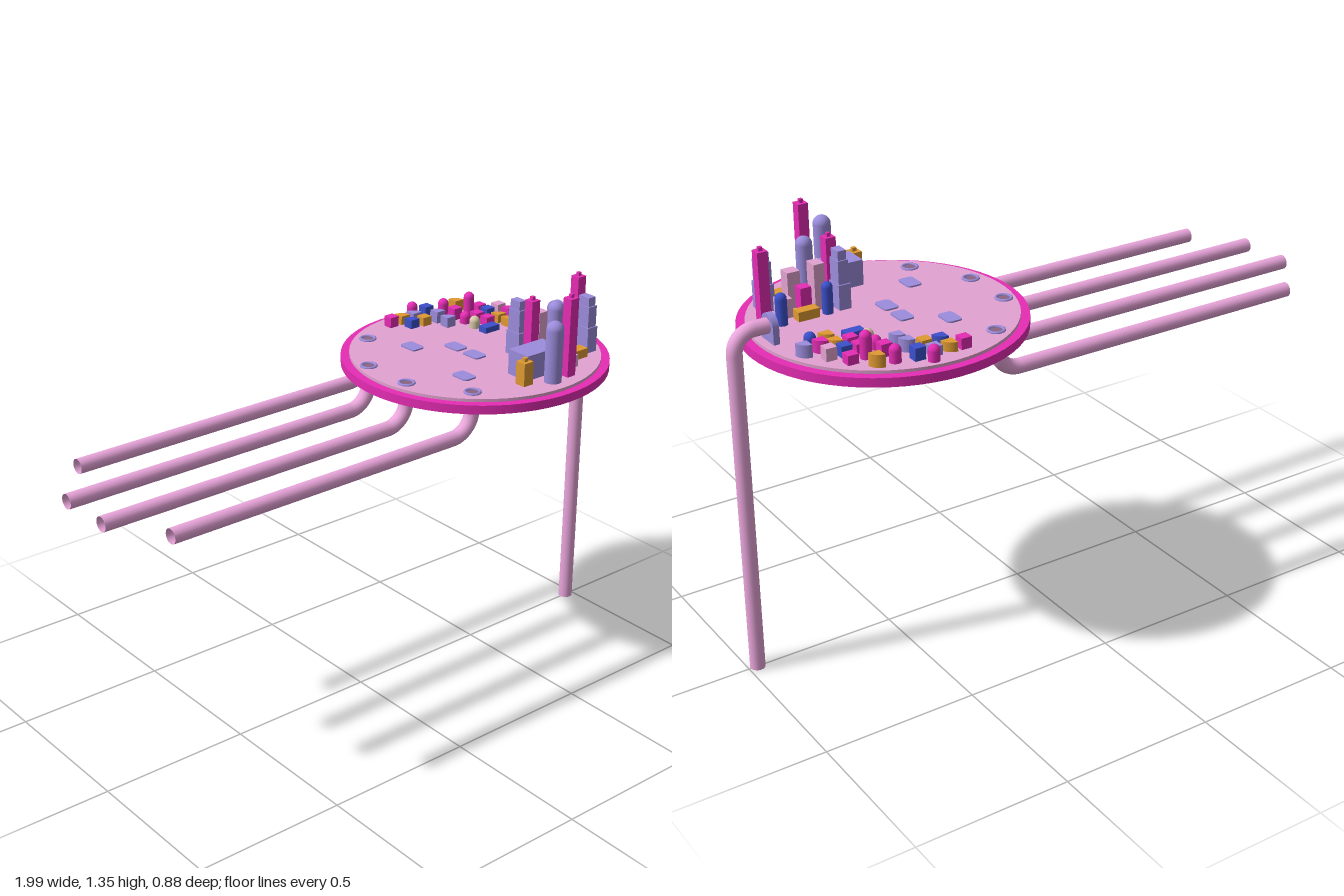
import * as THREE from 'three';

const mat = (color, side = THREE.FrontSide) => new THREE.MeshStandardMaterial({ color, side });
const COLORS = {
  magenta: mat(0xe62cb4), pink: mat(0xe2a2d0), violet: mat(0x9c8cdc),
  blue: mat(0x3c50cc), orange: mat(0xe09a32), cream: mat(0xd8c8a8),
};
const PIPE = mat(0xeaa6dc, THREE.DoubleSide);
const CX = 0.48, DECK = 1.08;

export function createModel() {
  const root = new THREE.Group();
  const add = (name, geo, material, x = 0, y = 0, z = 0, parent = root) => {
    const m = new THREE.Mesh(geo, material);
    m.name = name;
    m.position.set(x, y, z);
    parent.add(m);
    return m;
  };
  const group = (name) => {
    const g = new THREE.Group();
    g.name = name;
    root.add(g);
    return g;
  };

  // Round platform: shallow dish with a magenta rim and a raised pink deck
  const v = (x, y) => new THREE.Vector2(x, y);
  const dish = [[0, 1.002], [0.18, 1.002], [0.18, 1.002], [0.438, 1.041], [0.438, 1.041], [0.438, 1.07], [0.438, 1.07], [0, 1.07]];
  add('platformDish', new THREE.LatheGeometry(dish.map(p => v(...p)), 64), COLORS.magenta, CX);
  add('platformDeck', new THREE.CylinderGeometry(0.41, 0.41, 0.015, 64), COLORS.pink, CX, DECK - 0.0075);

  // Open pipe with a quarter bend between two straight runs
  const elbowPipe = (name, a, corner, b, bend, r) => {
    const A = new THREE.Vector3(...a), C = new THREE.Vector3(...corner), B = new THREE.Vector3(...b);
    const s = C.clone().add(A.clone().sub(C).setLength(bend));
    const e = C.clone().add(B.clone().sub(C).setLength(bend));
    const c1 = s.clone().lerp(C, 0.5523), c2 = e.clone().lerp(C, 0.5523);
    const g = group(name);
    const run = (label, curve, n) => add(label, new THREE.TubeGeometry(curve, n, r, 20), PIPE, 0, 0, 0, g);
    run('firstRun', new THREE.LineCurve3(A, s), 1);
    run('bend', new THREE.CubicBezierCurve3(s, c1, c2, e), 14);
    run('secondRun', new THREE.LineCurve3(e, B), 1);
  };

  // Four side pipes rising through the deck, each with a collar and a dark well
  [[0.275, -0.30, -0.85], [0.125, -0.113, -1], [0.125, 0.073, -1], [0.235, 0.258, -0.89]].forEach(([x, z, end]) => {
    elbowPipe('sidePipe', [x, DECK, z], [x, 0.945, z], [end, 0.945, z], 0.08, 0.024);
    add('pipeCollar', new THREE.TorusGeometry(0.024, 0.005, 8, 24).rotateX(Math.PI / 2), COLORS.violet, x, DECK + 0.001, z);
    add('pipeWell', new THREE.CircleGeometry(0.022, 24).rotateX(-Math.PI / 2), mat(0x8a6484), x, DECK + 0.001, z);
  });

  // Tall supply pipe and its arched gate
  elbowPipe('supplyPipe', [0.97, 0, 0], [0.97, 1.13, 0], [0.85, 1.13, 0], 0.065, 0.024);
  const arch = new THREE.Shape();
  arch.moveTo(-0.037, 0);
  arch.lineTo(0.037, 0);
  arch.absarc(0, 0.05, 0.037, 0, Math.PI);
  arch.lineTo(-0.037, 0);
  arch.holes.push(new THREE.Path().absarc(0, 0.05, 0.023, 0, Math.PI * 2, true));
  const gate = new THREE.ExtrudeGeometry(arch, { depth: 0.02, bevelEnabled: false, curveSegments: 16 });
  add('pipeGate', gate.rotateY(Math.PI / 2), COLORS.violet, 0.842, DECK, 0);

  // Rounded pads on the open half of the deck
  const rounded = (w, d, h, r) => {
    const s = new THREE.Shape();
    s.absarc(w / 2 - r, d / 2 - r, r, 0, Math.PI / 2);
    s.absarc(-w / 2 + r, d / 2 - r, r, Math.PI / 2, Math.PI);
    s.absarc(-w / 2 + r, -d / 2 + r, r, Math.PI, Math.PI * 1.5);
    s.absarc(w / 2 - r, -d / 2 + r, r, Math.PI * 1.5, Math.PI * 2);
    return new THREE.ExtrudeGeometry(s, { depth: h, bevelEnabled: false, curveSegments: 5 }).rotateX(-Math.PI / 2);
  };
  [[0.34, -0.15], [0.45, -0.06], [0.45, 0.032], [0.30, 0.147]].forEach(([x, z]) =>
    add('landingPad', rounded(0.05, 0.07, 0.006, 0.012), COLORS.violet, x, DECK - 0.001, z));

  // Building kinds; top is an absolute height
  const city = group('city');
  const block = (c, x, z, w, d, top, base = DECK - 0.005) =>
    add('block', new THREE.BoxGeometry(w, top - base, d), COLORS[c], x, (top + base) / 2, z, city);
  const dome = (c, x, z, r, top) => {
    const pts = [v(r, DECK - 0.005)];
    for (let i = 0; i <= 8; i++) {
      const t = i / 8 * Math.PI / 2;
      pts.push(v(i === 8 ? 0 : r * Math.cos(t), top - r + r * Math.sin(t)));
    }
    add('domedTower', new THREE.LatheGeometry(pts, 20), COLORS[c], x, 0, z, city);
  };
  const spire = (c, x, z, w, top) => {
    block(c, x, z, w, w, top - 0.012);
    block(c, x, z, w * 0.36, w * 0.36, top, top - 0.013);
  };
  const stepped = (c, x, z, w, d, tops) => tops.forEach((top, i) =>
    block(c, x, z, w * (1 - i * 0.15), d * (1 - i * 0.15), top, i ? tops[i - 1] : DECK - 0.005));
  const quarter = (c, x, z, s, top) => {
    const q = new THREE.Shape();
    q.moveTo(-s / 2, -s / 2);
    q.lineTo(s / 2, -s / 2);
    q.absarc(-s / 2, -s / 2, s, 0, Math.PI / 2);
    q.lineTo(-s / 2, -s / 2);
    const geo = new THREE.ExtrudeGeometry(q, { depth: top - DECK + 0.005, bevelEnabled: false, curveSegments: 8 });
    add('quarterRoundHouse', geo.rotateX(-Math.PI / 2), COLORS[c], x, DECK - 0.005, z, city);
  };

  // Tall quarter at the front
  block('violet', 0.498, 0.258, 0.145, 0.086, 1.163);
  spire('orange', 0.405, 0.31, 0.038, 1.168);
  dome('violet', 0.49, 0.35, 0.028, 1.28);
  spire('magenta', 0.563, 0.342, 0.034, 1.35);
  spire('magenta', 0.563, 0.173, 0.034, 1.295);
  spire('magenta', 0.805, 0.137, 0.034, 1.314);
  stepped('violet', 0.565, 0.107, 0.04, 0.06, [1.16, 1.235, 1.265]);
  stepped('violet', 0.763, 0.22, 0.042, 0.064, [1.165, 1.235, 1.265]);
  dome('violet', 0.62, 0.222, 0.026, 1.28);
  block('pink', 0.62, 0.29, 0.042, 0.042, 1.12);
  block('pink', 0.684, 0.193, 0.042, 0.042, 1.195);
  block('pink', 0.625, 0.142, 0.036, 0.046, 1.225);
  block('magenta', 0.672, 0.138, 0.036, 0.036, 1.16);
  block('pink', 0.742, 0.135, 0.042, 0.042, 1.14);
  block('orange', 0.69, 0.253, 0.07, 0.038, 1.11);
  block('orange', 0.69, 0.088, 0.07, 0.036, 1.11);
  dome('blue', 0.62, 0.086, 0.017, 1.18);
  dome('blue', 0.773, 0.085, 0.018, 1.18);

  // Small houses at the back: [kind, colour, x, z, top]
  const kinds = {
    b: (c, x, z, t) => block(c, x, z, 0.035, 0.034, t),
    d: (c, x, z, t) => dome(c, x, z, 0.018, t),
    q: (c, x, z, t) => quarter(c, x, z, 0.036, t),
  };
  [
    ['d', 'magenta', 0.533, -0.376, 1.13], ['b', 'magenta', 0.415, -0.345, 1.115],
    ['q', 'orange', 0.463, -0.345, 1.11], ['q', 'violet', 0.511, -0.34, 1.11],
    ['b', 'blue', 0.565, -0.34, 1.12], ['q', 'blue', 0.463, -0.295, 1.11],
    ['b', 'orange', 0.511, -0.287, 1.11], ['q', 'violet', 0.565, -0.28, 1.12],
    ['q', 'violet', 0.565, -0.227, 1.115], ['d', 'magenta', 0.628, -0.323, 1.135],
    ['q', 'orange', 0.686, -0.322, 1.12], ['b', 'magenta', 0.63, -0.265, 1.12],
    ['d', 'magenta', 0.683, -0.254, 1.165], ['b', 'magenta', 0.735, -0.259, 1.11],
    ['d', 'magenta', 0.628, -0.211, 1.12], ['b', 'magenta', 0.677, -0.205, 1.11],
    ['b', 'blue', 0.725, -0.205, 1.115], ['b', 'pink', 0.773, -0.203, 1.12],
    ['d', 'cream', 0.623, -0.158, 1.12], ['b', 'magenta', 0.677, -0.153, 1.11],
    ['q', 'orange', 0.727, -0.152, 1.11], ['q', 'magenta', 0.773, -0.152, 1.12],
    ['q', 'violet', 0.825, -0.152, 1.12], ['q', 'orange', 0.727, -0.102, 1.11],
    ['d', 'blue', 0.778, -0.098, 1.125],
  ].forEach(([k, ...args]) => kinds[k](...args));
  block('blue', 0.64, -0.104, 0.062, 0.034, 1.1);

  return root;
}
